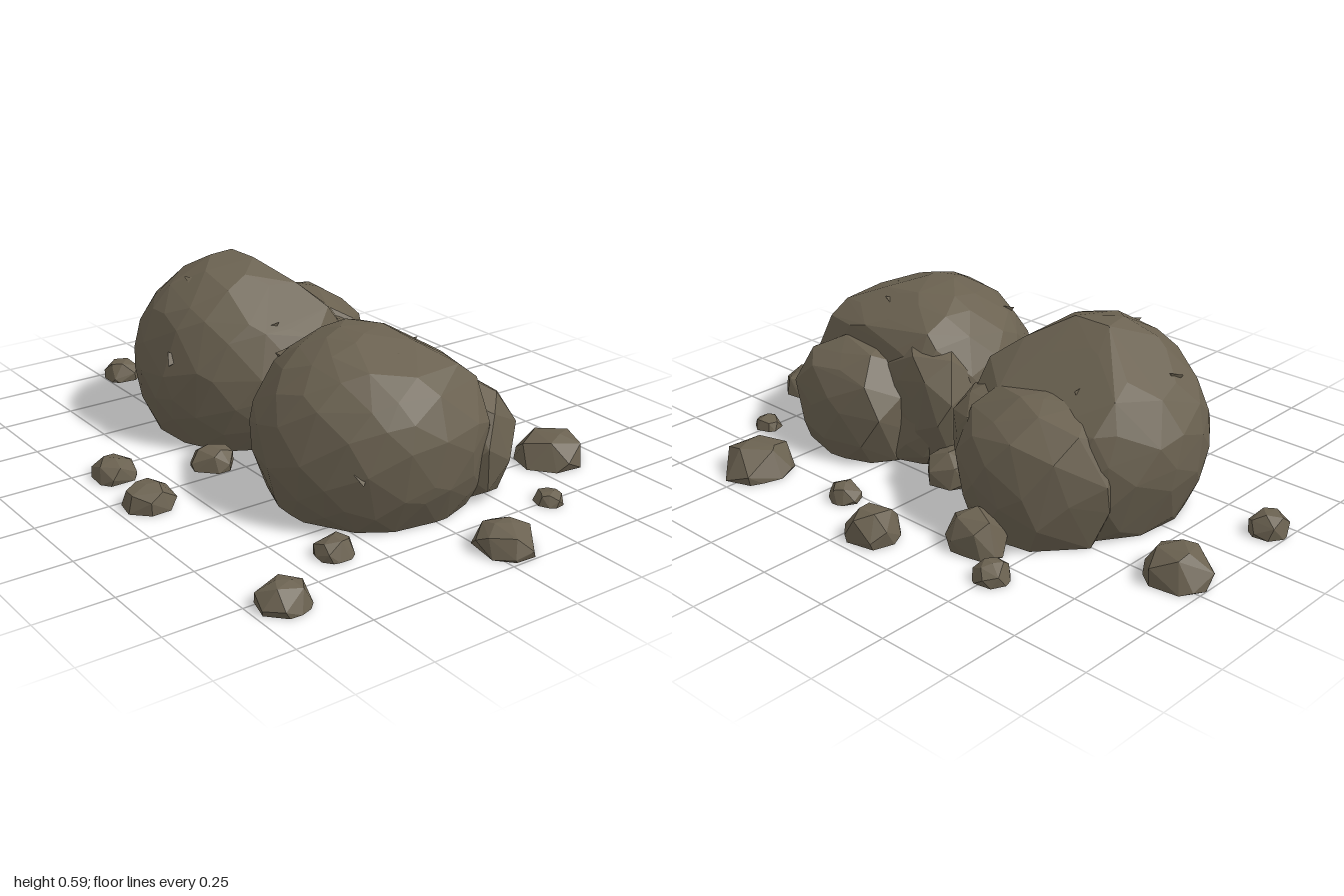
import * as THREE from 'three';
import { ConvexGeometry } from 'three/addons/geometries/ConvexGeometry.js';

const stone = new THREE.MeshStandardMaterial({ color: 0x6a6150 });
stone.name = 'weathered stone';

// small seeded random generator
function seeded(seed) {
  let s = seed * 7919 + 17;
  return () => ((s = (s * 16807) % 2147483647) / 2147483647);
}

// distance from the stone's centre to its surface: an ellipsoid trimmed by planes [nx, ny, nz, distance]
function reach(d, o) {
  const ry = d.y > 0 ? o.top : o.bottom;
  let r = 1 / Math.hypot(d.x / o.rx, d.y / ry, d.z / o.rz);
  for (const [x, y, z, h] of o.cuts) {
    const n = new THREE.Vector3(x, y, z).normalize();
    const k = n.dot(d);
    if (k > 0) r = Math.min(r, h / k);
  }
  return d.y < 0 ? Math.min(r, o.at[1] / -d.y) : r;
}

// faceted stone with a flat base on the ground
function rock(name, o) {
  const rand = seeded(o.seed), pts = [];
  for (let i = 0; i < o.n; i++) {
    const y = 1 - (2 * (i + 0.5)) / o.n, a = i * 2.39996 + o.seed;
    const s = Math.sqrt(1 - y * y), j = () => (rand() - 0.5) * o.rough;
    const d = new THREE.Vector3(Math.cos(a) * s + j(), y + j(), Math.sin(a) * s + j()).normalize();
    pts.push(d.multiplyScalar(reach(d, o)));
  }
  // rim of the flat base
  const w = Math.sqrt(Math.max(0.2, 1 - (o.at[1] / o.bottom) ** 2)), sides = o.n > 60 ? 14 : 7;
  for (let i = 0; i < sides; i++) {
    const a = ((i + rand() * 0.5) / sides) * Math.PI * 2;
    const p = new THREE.Vector3(Math.cos(a) * o.rx * w, -o.at[1], Math.sin(a) * o.rz * w);
    const len = p.length(), d = p.normalize();
    pts.push(d.clone().multiplyScalar(Math.min(len, reach(d, o))));
  }
  const mesh = new THREE.Mesh(new ConvexGeometry(pts), stone);
  mesh.position.set(...o.at);
  mesh.name = name;
  return mesh;
}

// little shards sitting in the surface of a boulder
function addChips(group, o, dirs) {
  dirs.forEach((v, i) => {
    const d = new THREE.Vector3(...v).normalize();
    const chip = new THREE.Mesh(new THREE.TetrahedronGeometry(0.035), stone);
    chip.position.set(...o.at).addScaledVector(d, reach(d, o) - 0.02);
    chip.scale.set(1, 0.7, 1.3);
    chip.rotation.set(i * 1.3, i * 2.1, i * 0.7);
    chip.name = 'surfaceChip';
    group.add(chip);
  });
}

export function createModel() {
  const model = new THREE.Group();
  model.name = 'boulders';

  // front boulder, split along its left side
  const front = new THREE.Group();
  front.name = 'frontBoulder';
  const frontBody = {
    at: [-0.015, 0.23, 0.365], rx: 0.39, rz: 0.365, top: 0.32, bottom: 0.4, n: 140, rough: 0.18, seed: 3,
    cuts: [[1, 0.12, 0, 0.25], [0.5, 0.87, 0.05, 0.285], [0, 1, 0, 0.312], [0, 0.945, 0.33, 0.295], [0, 0, -1, 0.358]],
  };
  front.add(rock('frontBoulderBody', frontBody));
  front.add(rock('frontBoulderSlab', {
    at: [0.23, 0.17, 0.43], rx: 0.18, rz: 0.27, top: 0.21, bottom: 0.25, n: 48, rough: 0.22, seed: 8,
    cuts: [[1, 0, 0, 0.155], [0.6, 0.8, 0, 0.175], [0, 0, -1, 0.22], [0.55, 0, 0.83, 0.225]],
  }));
  front.add(rock('frontBoulderRearSlab', {
    at: [0.13, 0.22, 0.18], rx: 0.14, rz: 0.2, top: 0.23, bottom: 0.27, n: 36, rough: 0.25, seed: 14,
    cuts: [[1, 0, 0, 0.115], [0, 0, -1, 0.165], [0, 0.8, -0.6, 0.2]],
  }));
  addChips(front, frontBody, [[-0.1, 0.8, 0.35], [0.3, 0.7, 0.1], [-0.6, -0.08, 0.65], [-0.5, 0.5, -0.5], [0.55, -0.2, 0.75]]);

  // back boulder, taller, sloping down to its left and towards the front
  const back = new THREE.Group();
  back.name = 'backBoulder';
  const backBody = {
    at: [-0.01, 0.23, -0.368], rx: 0.38, rz: 0.382, top: 0.375, bottom: 0.41, n: 140, rough: 0.18, seed: 5,
    cuts: [
      [0.62, 0.78, 0, 0.285], [1, 0.1, 0, 0.33], [0, 0.77, 0.635, 0.335], [0, 0.82, -0.57, 0.335],
      [0, 1, 0, 0.36], [0, 0, 1, 0.37],
    ],
  };
  back.add(rock('backBoulderBody', backBody));
  back.add(rock('backBoulderShoulder', {
    at: [0.24, 0.2, -0.38], rx: 0.215, rz: 0.28, top: 0.26, bottom: 0.34, n: 50, rough: 0.22, seed: 11,
    cuts: [[0.6, 0.8, 0, 0.215], [0, 1, 0, 0.225], [0.6, 0, -0.8, 0.235]],
  }));
  back.add(rock('backBoulderFrontSlab', {
    at: [0.19, 0.22, -0.19], rx: 0.17, rz: 0.17, top: 0.19, bottom: 0.26, n: 36, rough: 0.25, seed: 21,
    cuts: [[0.8, 0, 0.6, 0.15], [0.5, 0.8, 0.3, 0.17]],
  }));
  addChips(back, backBody, [[-0.5, 0.75, 0], [-0.2, 0.5, 0.75], [0.5, 0.6, -0.3], [-0.25, 0.6, -0.7], [-0.9, 0.2, 0.25]]);
  model.add(front, back);

  // loose stones around the boulders: x, z, half width, half depth, height
  const loose = [
    [-0.19, -0.937, 0.067, 0.065, 0.07], [0.21, -0.895, 0.107, 0.11, 0.103], [0.58, -0.507, 0.06, 0.06, 0.06],
    [0.475, -0.35, 0.085, 0.105, 0.12], [0.645, -0.08, 0.09, 0.085, 0.1], [-0.635, -0.18, 0.074, 0.08, 0.07],
    [-0.33, -0.07, 0.08, 0.073, 0.07], [-0.645, 0.06, 0.09, 0.085, 0.075], [0.54, 0.165, 0.055, 0.058, 0.06],
    [0.6, 0.525, 0.132, 0.117, 0.098], [-0.37, 0.645, 0.064, 0.063, 0.06], [0.37, 0.755, 0.048, 0.052, 0.04],
    [-0.65, 0.795, 0.085, 0.083, 0.075], [0.06, 0.895, 0.097, 0.108, 0.083], [0.2, 0.01, 0.105, 0.095, 0.11],
  ];
  loose.forEach(([x, z, rx, rz, h], i) => {
    model.add(rock('looseStone', {
      at: [x, h * 0.3, z], rx, rz, top: h * 0.75, bottom: h, n: 18, rough: 0.45, seed: 31 + i * 3,
      cuts: [[0, 1, 0, h * 0.7]],
    }));
  });
  return model;
}
